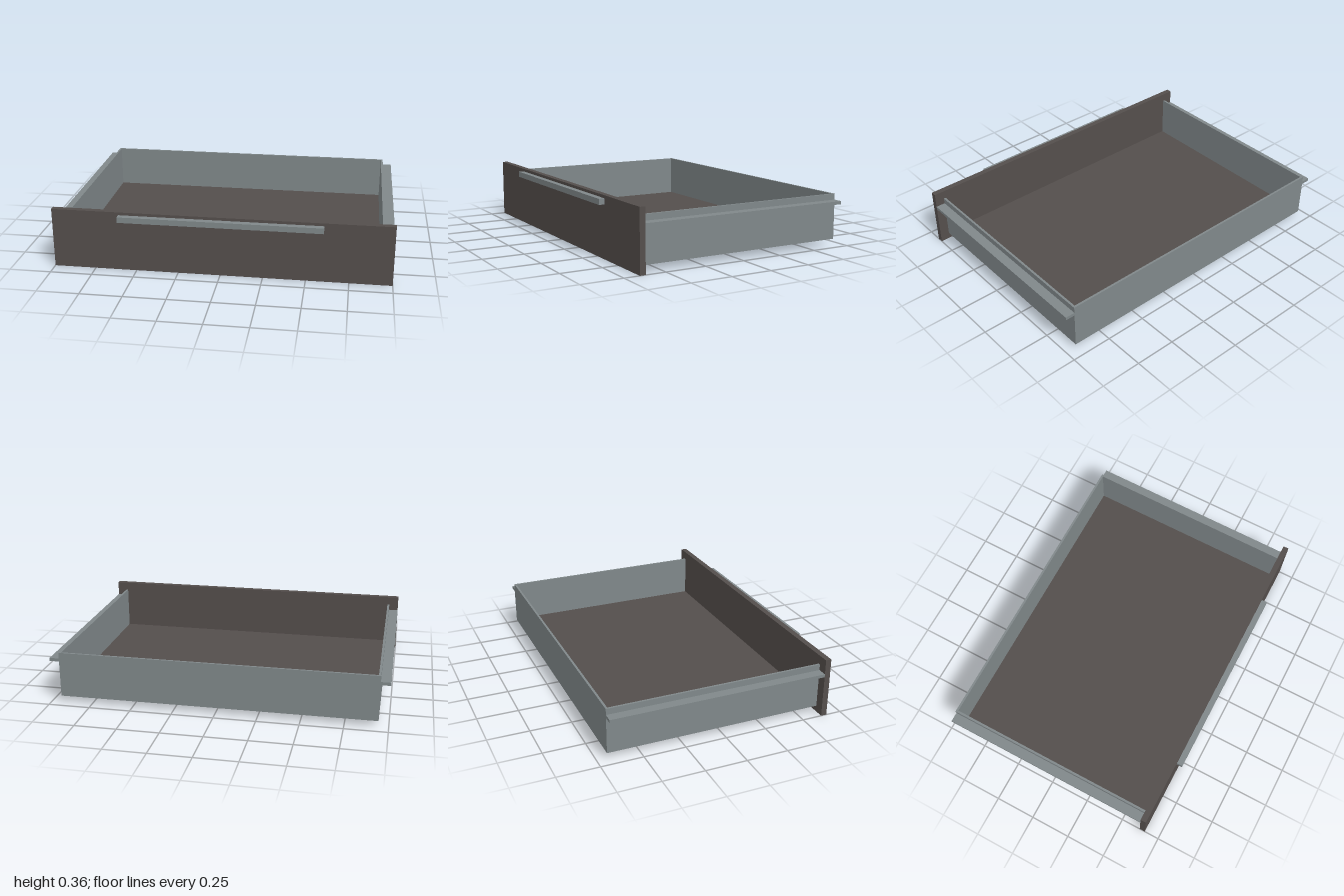
import * as THREE from 'three';

export function createModel() {
  const model = new THREE.Group();
  model.name = 'drawer';

  const brown = new THREE.MeshStandardMaterial({ color: 0x544e4c });
  brown.name = 'dark brown';
  const grey = new THREE.MeshStandardMaterial({ color: 0x80888a });
  grey.name = 'metal grey';

  // Box given by its extents on each axis
  function box(name, material, [x0, x1], [y0, y1], [z0, z1]) {
    const mesh = new THREE.Mesh(new THREE.BoxGeometry(x1 - x0, y1 - y0, z1 - z0), material);
    mesh.position.set((x0 + x1) / 2, (y0 + y1) / 2, (z0 + z1) / 2);
    mesh.name = name;
    model.add(mesh);
  }

  const outer = 0.942, inner = 0.929;
  const back = -0.692, front = 0.622;
  const bottom = 0.037, top = 0.311, wall = 0.013;

  // Front panel and its bar handle
  box('frontPanel', brown, [-1, 1], [0, 0.364], [front, 0.657]);
  box('handle', grey, [-0.598, 0.598], [0.313, 0.347], [0.657, 0.692]);

  // Tray floor and back wall
  box('floor', brown, [-inner, inner], [bottom, bottom + wall], [back + wall, front]);
  box('backWall', grey, [-inner, inner], [bottom, top], [back, back + wall]);

  // Side walls and slide rails, mirrored
  for (const [side, s] of [['left', 1], ['right', -1]]) {
    const span = (a, b) => (s > 0 ? [a, b] : [-b, -a]);
    box(side + 'Wall', grey, span(inner, outer), [bottom, top], [back, front]);
    box(side + 'Rail', grey, span(outer, 1), [0.256, 0.275], [back, front]);
  }

  return model;
}
